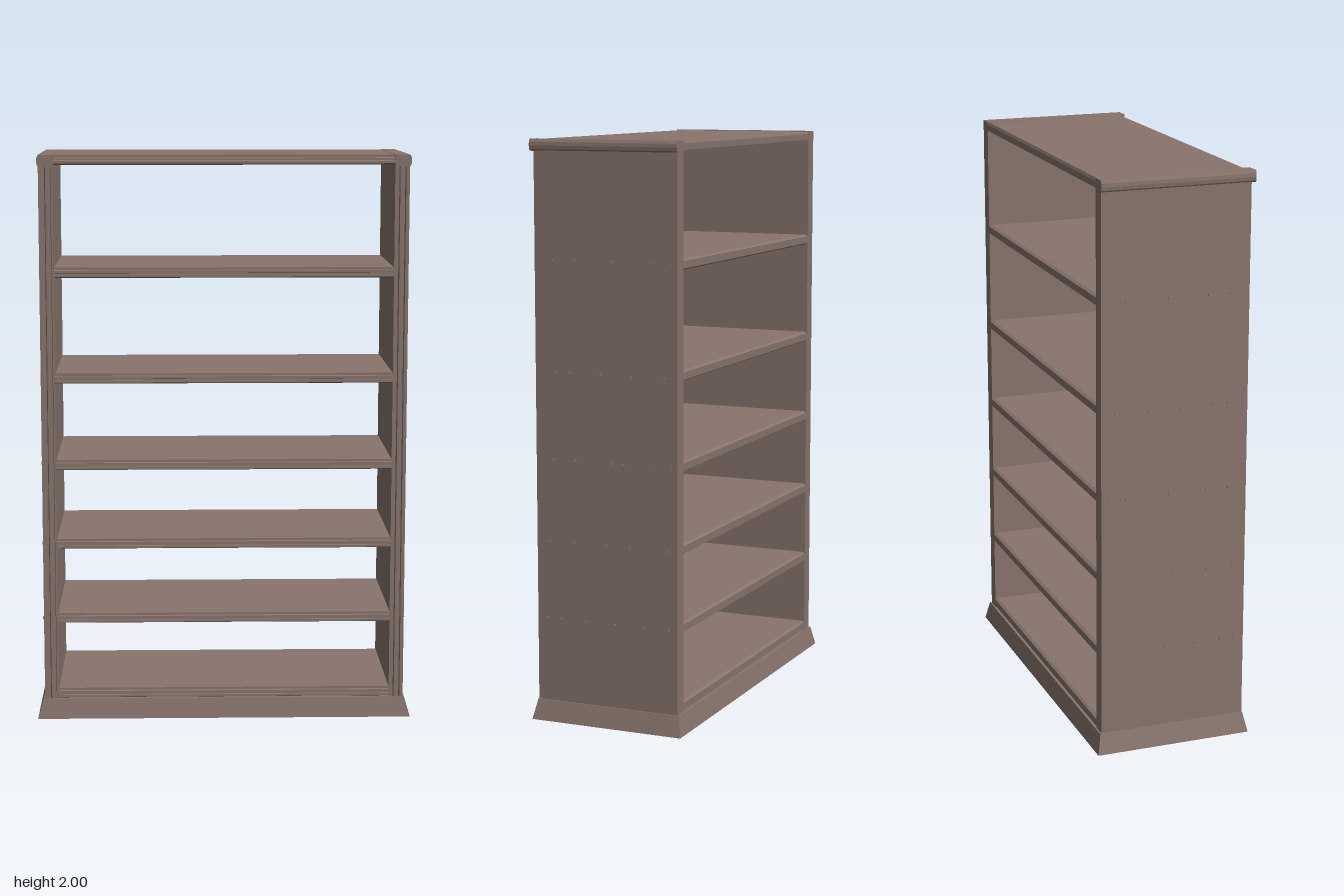
import * as THREE from 'three';

const wood = new THREE.MeshStandardMaterial({ color: 0x87746c });
wood.name = 'brownWood';

const shapeOf = (pts) => new THREE.Shape(pts.map(([a, b]) => new THREE.Vector2(a, b)));
const extrude = (pts, depth) =>
  new THREE.ExtrudeGeometry(shapeOf(pts), { depth, bevelEnabled: false });

function add(group, name, geometry) {
  const mesh = new THREE.Mesh(geometry, wood);
  mesh.name = name;
  group.add(mesh);
  return mesh;
}

// profile given as [z, y], run along x and centred
const alongX = (pts, length) =>
  extrude(pts, length).translate(0, 0, -length / 2).rotateY(-Math.PI / 2);

// profile given as [x, z], run upwards from y0 to y1
const alongY = (pts, y0, y1) =>
  extrude(pts.map(([x, z]) => [x, -z]), y1 - y0).rotateX(-Math.PI / 2).translate(0, y0, 0);

// shelf cross-section with a grooved front edge and an eased back edge
const shelfProfile = (y, h) => [
  [-0.26, y - h * 0.7], [-0.25, y - h], [0.248, y - h], [0.258, y - h * 0.8],
  [0.258, y - h * 0.4], [0.25, y - h * 0.35], [0.25, y - h * 0.1],
  [0.26, y], [0.26, y + h * 0.45], [0.252, y + h * 0.55], [0.252, y + h],
  [-0.25, y + h], [-0.26, y + h * 0.7],
];

// upright panel cross-section with a fluted front edge
const panelProfile = [
  [0.59, -0.26], [0.64, -0.26], [0.64, 0.265], [0.628, 0.265], [0.625, 0.257],
  [0.619, 0.257], [0.616, 0.262], [0.608, 0.262], [0.605, 0.254], [0.599, 0.254],
  [0.597, 0.259], [0.59, 0.259],
];

// peg rows: height, then depths
const pegRows = [
  [1.595, [0.2, 0.12, -0.02, -0.17, -0.235]],
  [1.215, [0.195, 0.14, 0.025, -0.09, -0.21]],
  [0.915, [0.2, 0.12, -0.015, -0.06, -0.17, -0.235]],
  [0.63, [0.22, 0.125, 0.005, -0.08, -0.225]],
  [0.36, [0.23, 0.18, 0.085, -0.025, -0.13, -0.225]],
];

export function createModel() {
  const model = new THREE.Group();
  model.name = 'bookcase';

  // flared plinth: a box whose upper corners are drawn inwards
  const base = new THREE.BoxGeometry(1.33, 0.07, 0.56).translate(0, 0.035, 0).toNonIndexed();
  const p = base.attributes.position;
  for (let i = 0; i < p.count; i++) {
    if (p.getY(i) > 0.03) {
      p.setX(i, Math.sign(p.getX(i)) * 0.645);
      p.setZ(i, Math.sign(p.getZ(i)) * 0.266);
    }
  }
  base.computeVertexNormals();
  add(model, 'base', base);

  // shelves
  for (const y of [0.088, 0.363, 0.633, 0.916, 1.223, 1.593]) {
    add(model, 'shelf', alongX(shelfProfile(y, 0.018), 1.18));
  }

  // top board with a stepped front edge
  add(model, 'topBoard', alongX([
    [-0.26, 1.968], [0.262, 1.965], [0.27, 1.97], [0.27, 1.978], [0.262, 1.981],
    [0.262, 1.987], [0.257, 1.99], [0.257, 1.999], [-0.255, 1.999], [-0.26, 1.99],
  ], 1.18));

  for (const side of [-1, 1]) {
    const mirror = (pts) => pts.map(([x, y]) => [side * x, y]);

    // upright side panel
    add(model, 'sidePanel', alongY(mirror(panelProfile), 0.07, 1.965));

    // cap along the top of the panel, softly rounded outside
    add(model, 'topCap', extrude(mirror([
      [0.588, 1.96], [0.639, 1.96], [0.643, 1.966], [0.645, 1.978],
      [0.644, 1.99], [0.639, 2], [0.588, 2],
    ]), 0.54).translate(0, 0, -0.26));

    // small pegs showing through the panel at each shelf
    const pegs = new THREE.Group();
    pegs.name = 'pegs';
    for (const [y, depths] of pegRows) {
      for (const z of depths) {
        const peg = add(pegs, 'peg', new THREE.CylinderGeometry(0.006, 0.006, 0.012, 8));
        peg.rotation.z = Math.PI / 2;
        peg.position.set(side * 0.639, y, z);
      }
    }
    model.add(pegs);
  }
  return model;
}
